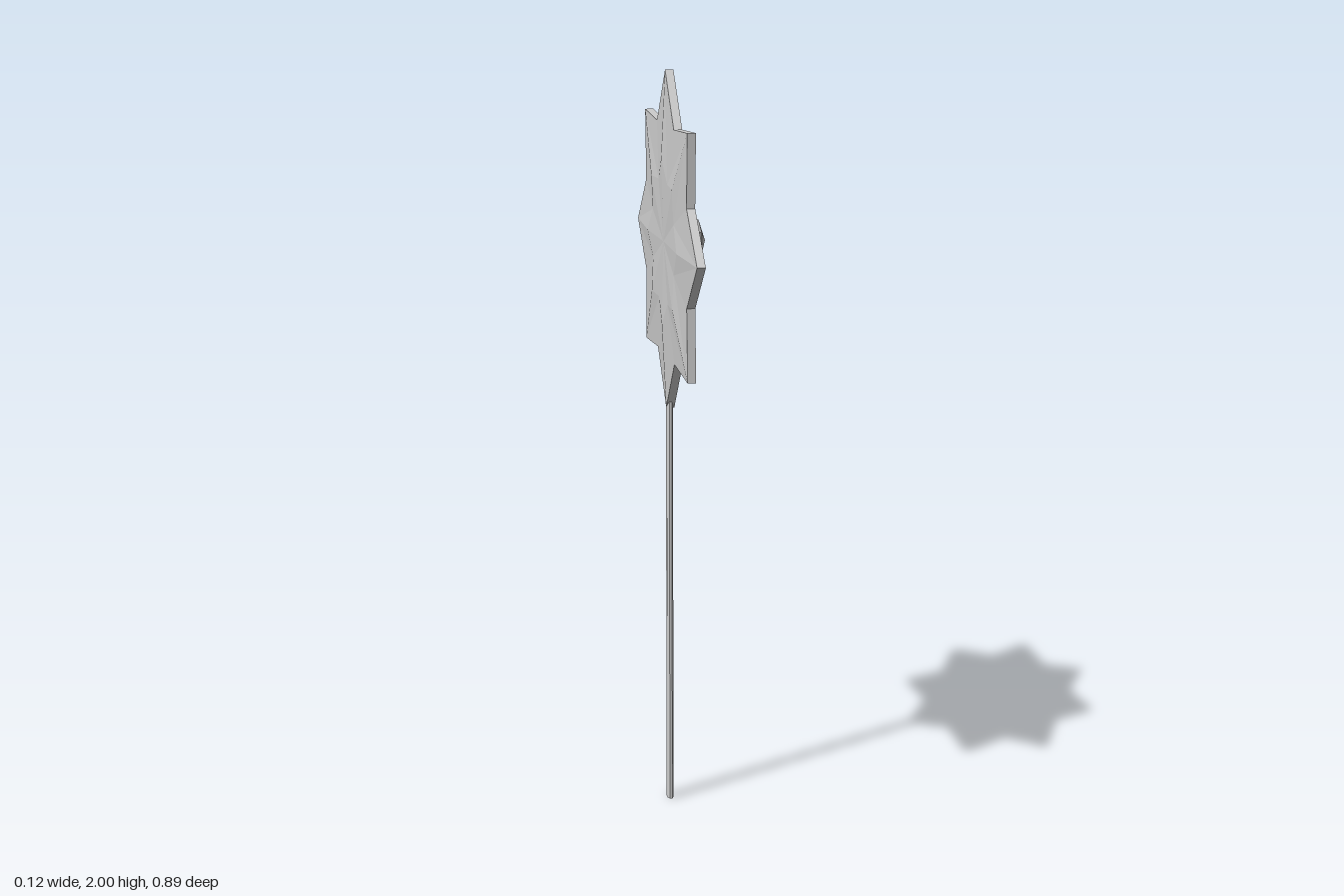
import * as THREE from 'three';

const material = new THREE.MeshStandardMaterial({ color: 0xcccccc, flatShading: true });
const CENTRE_Y = 1.555, PLATE_X = -0.037;

// Eight-pointed plate: centre, swollen middle ring and thin rim on both sides
function flowerGeometry() {
  const n = 16, positions = [], index = [];
  const add = (x, r, a) => positions.push(x, r * Math.cos(a), r * Math.sin(a));
  for (const side of [1, -1]) {
    add(side * 0.017, 0, 0);
    for (let i = 0; i < n; i++) {
      const tip = i % 2 === 0, a = (i / n) * Math.PI * 2 - 0.011;
      add(side * (tip ? 0.022 : 0.018), tip ? 0.22 : 0.17, a);
      add(side * 0.011, tip ? 0.447 : 0.33, a);
    }
  }
  const back = 1 + 2 * n;
  for (let i = 0; i < n; i++) {
    const m = 1 + 2 * i, r = m + 1;
    const m2 = 1 + 2 * ((i + 1) % n), r2 = m2 + 1;
    // keep each petal symmetric about its ridge
    const quad = i % 2 === 0 ? [[m, r, m2], [r, r2, m2]] : [[m, r, r2], [m, r2, m2]];
    for (const [a, b, c] of [[0, m, m2], ...quad]) {
      index.push(a, b, c, back + a, back + c, back + b);
    }
    // rim wall
    index.push(r, back + r, r2, r2, back + r, back + r2);
  }
  const g = new THREE.BufferGeometry();
  g.setAttribute('position', new THREE.Float32BufferAttribute(positions, 3));
  g.setIndex(index);
  const flat = g.toNonIndexed();
  flat.computeVertexNormals();
  return flat;
}

export function createModel() {
  const group = new THREE.Group();
  const part = (name, geometry, x, y, z) => {
    const mesh = new THREE.Mesh(geometry, material);
    mesh.name = name;
    mesh.position.set(x, y, z);
    group.add(mesh);
    return mesh;
  };

  part('petals', flowerGeometry(), PLATE_X, CENTRE_Y, 0);

  // Six-sided domed centre facing +x
  const profile = [[0, -0.03], [0.075, -0.03], [0.088, -0.005], [0.054, 0.04], [0, 0.057]]
    .map(([r, h]) => new THREE.Vector2(r, h));
  const bud = new THREE.LatheGeometry(profile, 6, Math.PI / 2);
  bud.rotateZ(-Math.PI / 2);
  part('flowerCentre', bud, 0, CENTRE_Y, 0);

  // Flat stem with bevelled corners
  const stem = new THREE.CylinderGeometry(1, 1, 1.14, 8);
  stem.rotateY(Math.PI / 8);
  stem.scale(0.009, 1, 0.019);
  part('stem', stem, -0.039, 0.57, 0.004);

  return group;
}
